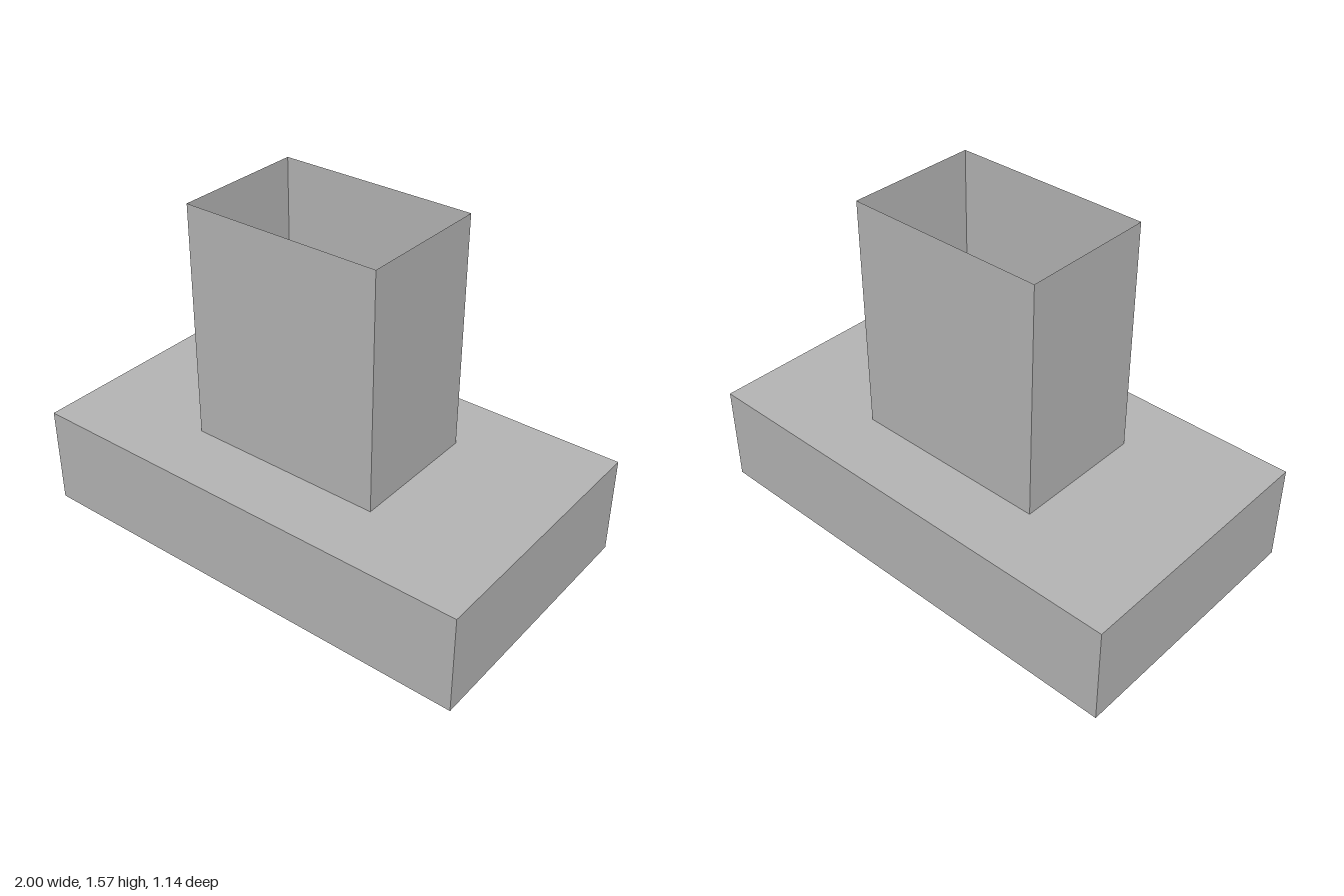
import * as THREE from 'three';

const U = 1 / 7; // the hood is proportioned on a sevenths module

export function createModel() {
  const model = new THREE.Group();
  model.name = 'rangeHood';

  const grey = new THREE.MeshStandardMaterial({ color: 0xb3b3b3, side: THREE.DoubleSide });
  grey.name = 'plain grey';

  // Solid block given by its width, depth, bottom and top in module units
  function block(name, width, depth, bottom, top) {
    const mesh = new THREE.Mesh(new THREE.BoxGeometry(width * U, (top - bottom) * U, depth * U), grey);
    mesh.name = name;
    mesh.position.y = ((bottom + top) / 2) * U;
    model.add(mesh);
  }

  block('filterPanel', 12, 6, 0, 1);
  block('canopy', 14, 8, 1, 4);

  // Chimney: four thin walls, open at the top
  const chimney = new THREE.Group();
  chimney.name = 'chimney';
  const width = 6 * U, depth = 4 * U, height = 7 * U;
  for (let i = 0; i < 4; i++) {
    const across = i % 2 ? depth : width;
    const out = (i % 2 ? width : depth) / 2;
    const angle = (i * Math.PI) / 2;
    const wall = new THREE.Mesh(new THREE.PlaneGeometry(across, height), grey);
    wall.name = 'chimneyWall';
    wall.rotation.y = angle;
    wall.position.set(Math.sin(angle) * out, 4 * U + height / 2, Math.cos(angle) * out);
    chimney.add(wall);
  }
  model.add(chimney);

  return model;
}
